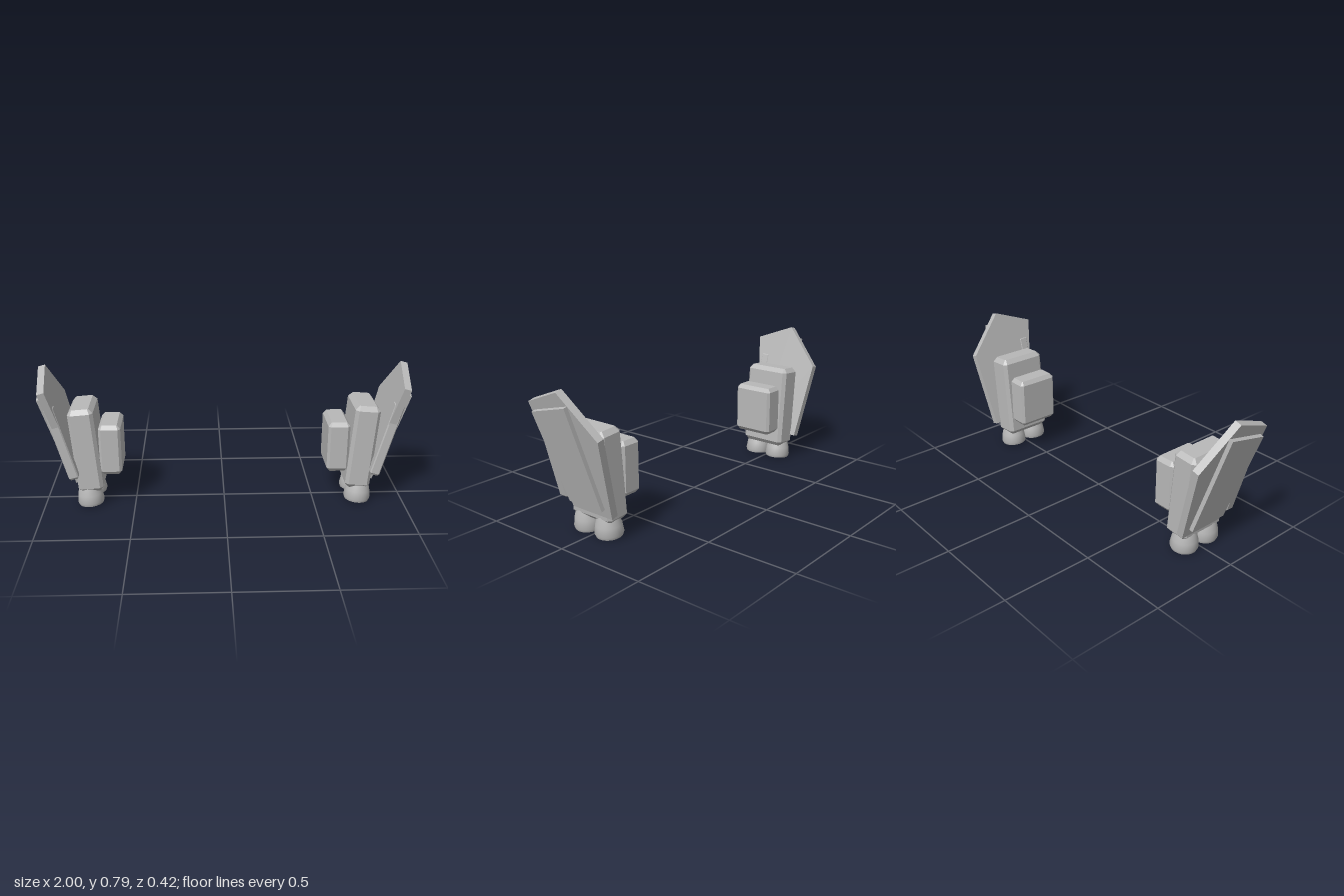
import * as THREE from 'three';
import { toCreasedNormals } from 'three/addons/utils/BufferGeometryUtils.js';

const gray = new THREE.MeshStandardMaterial({ color: 0xb8b8b8 });
gray.name = 'plain gray';

function part(name, geometry, parent) {
  const mesh = new THREE.Mesh(geometry, gray);
  mesh.name = name;
  parent.add(mesh);
  return mesh;
}

// Upright box (width x, depth z) from y0 to y1 with all edges chamfered
function chamferBox(w, d, y0, y1, corner, bevel, rise) {
  const a = w / 2, b = d / 2, c = corner;
  const shape = new THREE.Shape([
    [a - c, -b], [a, -b + c], [a, b - c], [a - c, b],
    [-a + c, b], [-a, b - c], [-a, -b + c], [-a + c, -b],
  ].map(([x, y]) => new THREE.Vector2(x, y)));
  const geo = new THREE.ExtrudeGeometry(shape, {
    depth: y1 - y0 - 2 * rise, bevelSegments: 1,
    bevelSize: bevel, bevelOffset: -bevel, bevelThickness: rise,
  });
  geo.rotateX(-Math.PI / 2);
  geo.translate(0, y0 + rise, 0);
  return geo;
}

// Flat plate facing +x, outlined by [z, height] points, between x0 and x1
function plate(points, x0, x1) {
  const shape = new THREE.Shape(points.map(([z, y]) => new THREE.Vector2(-z, y)));
  const geo = new THREE.ExtrudeGeometry(shape, { depth: x1 - x0, bevelEnabled: false });
  geo.rotateY(Math.PI / 2);
  geo.translate(x0, 0, 0);
  return geo;
}

function createPod() {
  const pod = new THREE.Group();

  // Inner tank
  part('innerTank', chamferBox(0.12, 0.24, 0.187, 0.476, 0.014, 0.018, 0.022), pod)
    .position.set(0.624, 0, 0.003);

  // Main body with two bell nozzles, leaning slightly outward
  const booster = new THREE.Group();
  booster.name = 'booster';
  booster.position.x = 0.73;
  booster.rotation.z = -0.08;
  pod.add(booster);
  part('boosterBody', chamferBox(0.138, 0.272, 0.088, 0.572, 0.018, 0.022, 0.025), booster);
  const profile = [[0, 0], [0.068, 0], [0.074, 0.016], [0.068, 0.06], [0.058, 0.095], [0.045, 0.14], [0, 0.14]]
    .map(([r, y]) => new THREE.Vector2(r, y));
  const bell = toCreasedNormals(new THREE.LatheGeometry(profile, 32), 0.6);
  for (const z of [0.077, -0.07]) {
    part('nozzle', bell, booster).position.set(0.016, 0.007, z);
  }

  // Outer shield assembly, leaning outward
  const tilt = 0.268, k = 1 / Math.cos(tilt);
  const shield = new THREE.Group();
  shield.name = 'shield';
  shield.position.x = 0.784;
  shield.rotation.z = -tilt;
  pod.add(shield);
  const slope = (pts) => pts.map(([z, y]) => [z, y * k]);
  part('shieldPlate', plate(slope([
    [0.102, 0.135], [-0.167, 0.135], [-0.211, 0.563], [-0.01, 0.775], [0.213, 0.69],
  ]), -0.039, 0), shield);
  part('shieldPanel', plate(slope([
    [0.09, 0.182], [-0.133, 0.182], [-0.066, 0.717], [0.18, 0.653],
  ]), 0, 0.022), shield);

  // Bar along the front edge, tucked under the panel
  part('shieldBar', chamferBox(0.054, 0.052, 0.188, 0.62, 0.006, 0.008, 0.012), shield)
    .position.set(-0.015, 0, 0.146);
  return pod;
}

export function createModel() {
  const model = new THREE.Group();
  model.name = 'boosterPair';
  const left = createPod();
  left.name = 'leftPod';
  const right = createPod();
  right.name = 'rightPod';
  right.scale.x = -1;
  model.add(left, right);
  return model;
}
